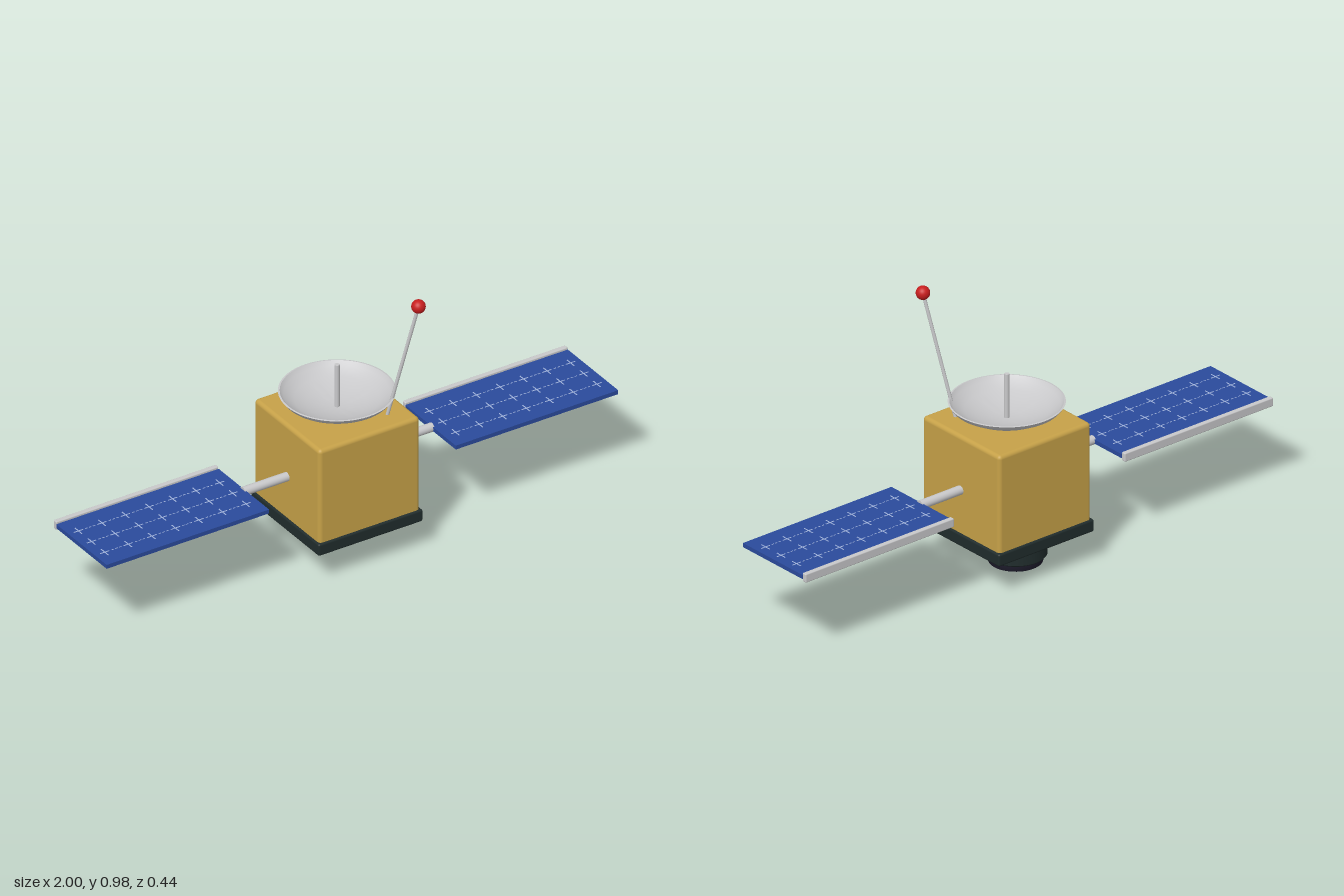
import * as THREE from 'three';
import { RoundedBoxGeometry } from 'three/addons/geometries/RoundedBoxGeometry.js';
import { mergeGeometries, toCreasedNormals } from 'three/addons/utils/BufferGeometryUtils.js';

const material = (name, color, side = THREE.FrontSide) => {
  const m = new THREE.MeshStandardMaterial({ color, side });
  m.name = name;
  return m;
};

export function createModel() {
  const group = new THREE.Group();
  const gold = material('gold foil', 0xc6a148);
  const dark = material('dark green grey', 0x202c2c);
  const lensDark = material('dark violet', 0x1e1c2c);
  const blue = material('panel blue', 0x2a4a9c);
  const paleBlue = material('pale blue', 0x9fb2dc);
  const grey = material('light grey', 0xc8c8ca);
  const red = material('red', 0xc81e1e);
  const bodyZ = -0.016, lensZ = -0.061, panelY = 0.318;

  const add = (name, geometry, mat, x = 0, y = 0, z = 0, parent = group) => {
    const mesh = new THREE.Mesh(geometry, mat);
    mesh.name = name;
    mesh.position.set(x, y, z);
    parent.add(mesh);
    return mesh;
  };
  const lathe = (points, segments = 48) => toCreasedNormals(
    new THREE.LatheGeometry(points.map(p => new THREE.Vector2(...p)), segments), 0.6);

  // Body and base plate
  add('body', new RoundedBoxGeometry(0.394, 0.375, 0.394, 4, 0.014), gold, 0, 0.3275, bodyZ);
  add('basePlate', new RoundedBoxGeometry(0.408, 0.045, 0.408, 3, 0.007), dark, 0, 0.1375, bodyZ);

  // Camera under the plate: housing, lens ring and red lens
  add('cameraHousing', lathe([[0, 0.04], [0.1, 0.04], [0.105, 0.045], [0.105, 0.12], [0, 0.12]]), dark, 0, 0, lensZ);
  add('lensRing', lathe([[0, 0.017], [0.09, 0.017], [0.091, 0.019], [0.091, 0.042], [0, 0.042]]), lensDark, 0, 0, lensZ);
  const lens = add('redLens', new THREE.SphereGeometry(0.034, 32, 16), red, 0, 0.018, lensZ);
  lens.scale.y = 0.018 / 0.034;

  // Dish: outer shell, rim and inner bowl in one closed profile
  add('dish', lathe([
    [0, 0.516], [0.05, 0.519], [0.1, 0.53], [0.145, 0.545], [0.181, 0.565], [0.194, 0.582],
    [0.188, 0.583], [0.176, 0.569], [0.14, 0.551], [0.1, 0.536], [0.05, 0.525], [0, 0.522],
  ], 64), grey, 0, 0, bodyZ);
  add('dishFeed', new THREE.CylinderGeometry(0.009, 0.009, 0.16, 20), grey, 0, 0.602, bodyZ);

  // Leaning antenna with a ball tip
  const foot = new THREE.Vector3(0.116, 0.505, 0.105);
  const tip = new THREE.Vector3(0.18, 0.955, 0.197);
  add('antennaRod', new THREE.TubeGeometry(new THREE.LineCurve3(foot, tip), 1, 0.006, 16), grey);
  add('antennaBall', new THREE.SphereGeometry(0.024, 32, 20), red, tip.x, tip.y, tip.z);

  // Cell marks: rows of crosses joined by short dashes, on both panel faces
  const marks = [];
  const mark = (w, d, x, z) => marks.push(new THREE.BoxGeometry(w, 0.0165, d).translate(x, 0, z));
  for (const z of [-0.091, -0.012, 0.067]) {
    for (let i = 0; i < 7; i++) {
      const x = 0.41 + i * 0.092;
      mark(0.036, 0.004, x, z);
      mark(0.004, 0.044, x, z);
      if (i < 6) for (const s of [0.031, 0.046, 0.061]) mark(0.009, 0.003, x + s, z);
    }
  }
  const markGeometry = mergeGeometries(marks);

  // Solar wings
  for (const side of [1, -1]) {
    const wing = new THREE.Group();
    wing.name = side > 0 ? 'leftWing' : 'rightWing';
    wing.position.y = panelY;
    group.add(wing);
    const arm = add('wingArm', new THREE.CylinderGeometry(0.016, 0.016, 0.19, 24), grey, side * 0.275, 0, -0.014, wing);
    arm.rotation.z = Math.PI / 2;
    add('solarPanel', new THREE.BoxGeometry(0.635, 0.015, 0.303), blue, side * 0.6825, 0, -0.0145, wing);
    add('panelRail', new RoundedBoxGeometry(0.635, 0.032, 0.018, 2, 0.004), grey, side * 0.6825, 0, -0.175, wing);
    const cells = add('cellMarks', markGeometry, paleBlue, 0, 0, 0, wing);
    if (side < 0) cells.rotation.y = Math.PI, cells.position.z = -0.024;
  }
  return group;
}
